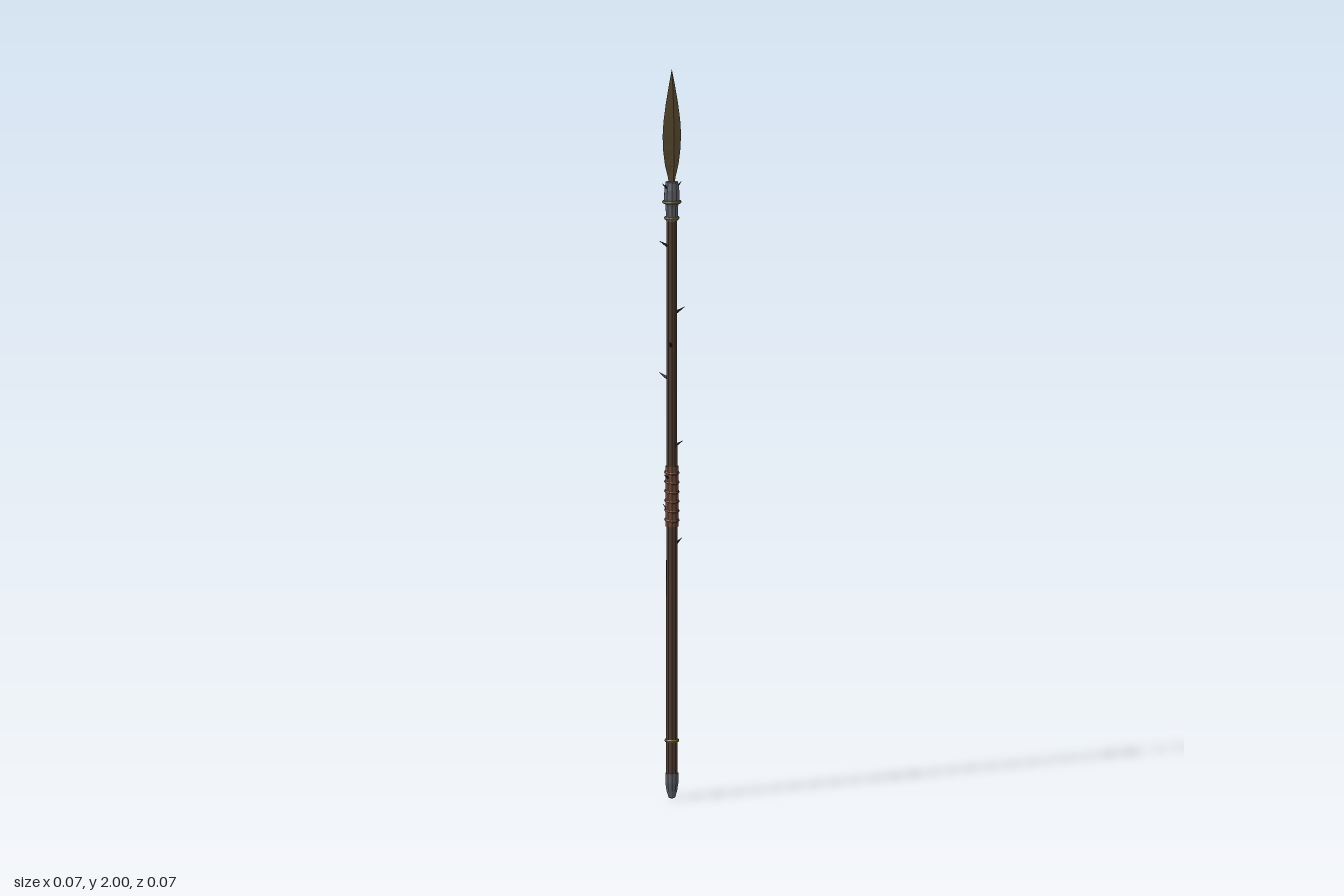
import * as THREE from 'three';

const mat = (color) => new THREE.MeshStandardMaterial({ color, flatShading: true });
const WOOD = mat(0x4e392e), LEATHER = mat(0x6b4535), STEEL = mat(0x5c5f68);
const BRASS = mat(0x74703a), BRONZE = mat(0x5e4f33), THORN = mat(0x2e2722);

export function createModel() {
  const spear = new THREE.Group();
  spear.name = 'spear';

  const add = (name, geometry, material, y = 0) => {
    const mesh = new THREE.Mesh(geometry, material);
    mesh.name = name;
    mesh.position.y = y;
    spear.add(mesh);
    return mesh;
  };
  const lathe = (profile, sides = 10) =>
    new THREE.LatheGeometry(profile.map(([r, y]) => new THREE.Vector2(r, y)), sides);
  const ring = (name, y, radius, tube, material) =>
    add(name, new THREE.TorusGeometry(radius, tube, 6, 14).rotateX(Math.PI / 2), material, y);
  // Cone from a base point along a direction
  const spike = (name, base, dir, radius, length) => {
    const mesh = add(name, new THREE.ConeGeometry(radius, length, 5).translate(0, length / 2, 0), THORN);
    mesh.position.copy(base);
    mesh.quaternion.setFromUnitVectors(new THREE.Vector3(0, 1, 0), dir.normalize());
  };

  // Shaft, slightly tapered
  add('shaft', new THREE.CylinderGeometry(0.0145, 0.0165, 1.58, 10), WOOD, 0.83);

  // Butt cap and its band
  add('buttCap', lathe([[0, 0], [0.009, 0.003], [0.015, 0.022], [0.0185, 0.045], [0.0185, 0.07], [0, 0.07]]), STEEL);
  ring('buttBand', 0.16, 0.0165, 0.004, BRASS);

  // Leather grip with wrapped cords
  add('grip', new THREE.CylinderGeometry(0.0185, 0.0185, 0.165, 10), LEATHER, 0.83);
  for (let i = 0; i < 6; i++) ring('gripWrap', 0.765 + i * 0.026, 0.0175, 0.0035, LEATHER).rotation.x = 0.12;

  // Head socket with collars
  add('socket', lathe([[0, 1.585], [0.0165, 1.585], [0.0175, 1.625], [0.022, 1.645],
    [0.021, 1.67], [0.017, 1.692], [0, 1.692]]), STEEL);
  ring('socketCollar', 1.637, 0.0225, 0.004, BRASS);
  ring('lowerCollar', 1.593, 0.0175, 0.004, BRASS);

  // Leaf blade: diamond cross-sections [y, half width, half thickness]
  const sections = [[1.68, 0.008, 0.007], [1.705, 0.013, 0.008], [1.74, 0.023, 0.009], [1.78, 0.029, 0.010],
    [1.82, 0.031, 0.010], [1.86, 0.028, 0.009], [1.91, 0.02, 0.007], [1.96, 0.0095, 0.004], [2.0, 0.0002, 0.0002]];
  const positions = [], index = [];
  sections.forEach(([y, w, d], s) => {
    positions.push(w, y, 0, 0, y, d, -w, y, 0, 0, y, -d);
    if (s === 0) return;
    for (let k = 0; k < 4; k++) {
      const a = (s - 1) * 4 + k, b = (s - 1) * 4 + (k + 1) % 4;
      index.push(a, a + 4, b, b, a + 4, b + 4);
    }
  });
  const blade = new THREE.BufferGeometry();
  blade.setAttribute('position', new THREE.Float32BufferAttribute(positions, 3));
  blade.setIndex(index);
  blade.computeVertexNormals();
  add('blade', blade, BRONZE).material.side = THREE.DoubleSide;

  // Barbs either side of the blade root
  for (const side of [-1, 1]) {
    spike('barb', new THREE.Vector3(side * 0.012, 1.672, 0), new THREE.Vector3(side, 0.9, 0), 0.005, 0.029);
  }

  // Thorns spiralling up the shaft
  for (let i = 0; i < 10; i++) {
    const a = -1.7 * i, x = Math.cos(a), z = Math.sin(a);
    const base = new THREE.Vector3(x * 0.013, 0.698 + i * 0.091, z * 0.013);
    spike('thorn', base, new THREE.Vector3(x, 0.65, z), 0.0045, 0.028);
  }
  return spear;
}
